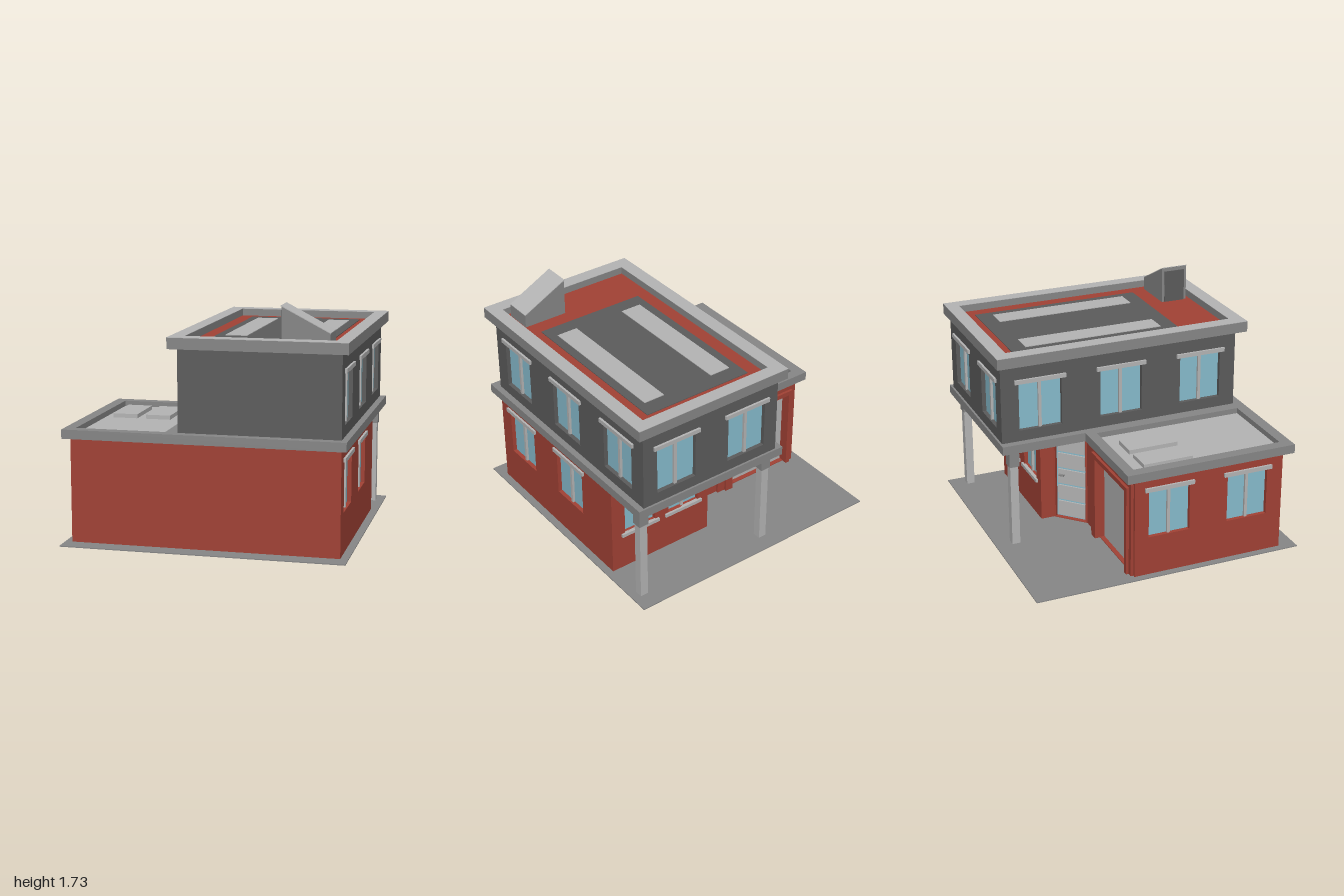
import * as THREE from 'three';

const mat = (name, color) => Object.assign(new THREE.MeshStandardMaterial({ color }), { name });

export function createModel() {
  const root = new THREE.Group();
  root.name = 'house';
  const red = mat('brick red', 0xa24235);
  const dark = mat('dark grey', 0x5c5c5c);
  const grey = mat('mid grey', 0x878787);
  const light = mat('light grey', 0xb5b5b5);
  const glass = mat('window blue', 0x87bccd);

  const add = (parent, name, geometry, material) => {
    const m = new THREE.Mesh(geometry, material);
    m.name = name;
    parent.add(m);
    return m;
  };
  // Box given by its extents
  const box = (parent, name, material, x0, x1, y0, y1, z0, z1) =>
    add(parent, name, new THREE.BoxGeometry(x1 - x0, y1 - y0, z1 - z0)
      .translate((x0 + x1) / 2, (y0 + y1) / 2, (z0 + z1) / 2), material);
  const poly = (pts, Type = THREE.Shape) => new Type(pts.map(([x, y]) => new THREE.Vector2(x, y)));
  const rect = (x0, x1, y0, y1) => [[x0, y0], [x1, y0], [x1, y1], [x0, y1]];
  const extrude = (shape, depth) => new THREE.ExtrudeGeometry(shape, { depth, bevelEnabled: false });
  // Flat slab from a plan outline in (x, z), with one rectangular well
  const slab = (name, material, outline, well, y0, y1) => {
    const s = poly(outline.map(([x, z]) => [x, -z]));
    s.holes.push(poly(rect(well[0], well[1], -well[3], -well[2]), THREE.Path));
    add(root, name, extrude(s, y1 - y0).rotateX(-Math.PI / 2).translate(0, y0, 0), material);
  };

  // Wall panel from plan point a to b; openings are [u0, u1, y0, y1] along the wall
  const wall = (name, material, a, b, y0, y1, openings = []) => {
    const g = new THREE.Group();
    g.name = name;
    const dx = b[0] - a[0], dz = b[1] - a[1];
    g.position.set(a[0], 0, a[1]);
    g.rotation.y = Math.atan2(-dz, dx);
    const s = poly(rect(0, Math.hypot(dx, dz), y0, y1));
    for (const o of openings) s.holes.push(poly(rect(...o), THREE.Path));
    add(g, name + 'Panel', extrude(s, 0.04).translate(0, 0, -0.04), material);
    root.add(g);
    return g;
  };
  // Wall with glazed windows
  const windowWall = (name, material, a, b, y0, y1, openings, sill = false) => {
    const g = wall(name, material, a, b, y0, y1, openings);
    for (const [u0, u1, v0, v1] of openings) {
      const c = (u0 + u1) / 2;
      box(g, 'windowGlass', glass, u0, u1, v0, v1, -0.036, -0.03);
      box(g, 'windowMullion', light, c - 0.011, c + 0.011, v0, v1, -0.03, -0.012);
      box(g, 'windowLintel', light, u0 - 0.03, u1 + 0.03, v1 - 0.003, v1 + 0.027, -0.01, 0.016);
      if (sill) box(g, 'windowSill', light, u0 - 0.03, u1 + 0.03, v0 - 0.025, v0, -0.01, 0.016);
    }
  };
  // Window openings at the given positions, measured from a wall's start
  const windows = (start, centres, width, v0, v1) => centres.map((c) => {
    const u = Math.abs(c - start);
    return [u - width / 2, u + width / 2, v0, v1];
  });

  // Ground plate and porch columns
  box(root, 'ground', grey, -1, 1, 0.038, 0.045, -1, 1);
  for (const x of [-0.145, 0.91]) {
    box(root, 'column', light, x - 0.03, x + 0.03, 0, 0.67, -0.88, -0.82);
    box(root, 'columnCapital', grey, x - 0.038, x + 0.038, 0.66, 0.79, -0.886, -0.812);
  }

  // Lower storey
  const L = 0.045, T = 0.79;
  wall('lowerFrontWall', red, [-0.95, 0.875], [0.945, 0.875], L, T);
  windowWall('lowerLeftWall', red, [0.945, 0.875], [0.945, -0.55], L, T,
    windows(0.875, [0.595, -0.028], 0.32, 0.335, 0.69));
  windowWall('lowerBackWall', red, [0.945, -0.55], [0.107, -0.55], L, T,
    windows(0.945, [0.705, 0.33], 0.26, 0.345, 0.71), true);
  wall('entranceReturn', red, [0.107, -0.55], [0.107, -0.45], L, T);
  windowWall('lowerRightWall', red, [-0.95, -0.26], [-0.95, 0.875], L, T,
    windows(-0.26, [0.0, 0.6], 0.31, 0.335, 0.69));

  // Angled entrance with a slatted door
  const entrance = wall('entranceWall', red, [0.107, -0.45], [-0.09, -0.26], L, T, [[0.015, 0.259, 0.05, 0.71]]);
  box(entrance, 'doorGlass', glass, 0.015, 0.259, 0.05, 0.71, -0.038, -0.032);
  for (let i = 0; i < 5; i++) {
    const y = 0.062 + i * 0.131;
    box(entrance, 'doorPanel', light, 0.028, 0.246, y, y + 0.115, -0.032, -0.02);
  }
  box(entrance, 'doorHandle', grey, 0.04, 0.08, 0.39, 0.4, -0.02, 0);

  // Garage with stepped surround
  const garage = wall('garageWall', red, [-0.09, -0.26], [-0.95, -0.26], L, T, [[0.24, 0.77, 0.05, 0.68]]);
  box(garage, 'garageDoor', light, 0.24, 0.77, 0.05, 0.68, -0.05, -0.035);
  for (const [out, depth] of [[0.07, 0.02], [0.035, 0.04]]) {
    const l = 0.24 - out * 1.8, r = 0.77 + out, top = 0.68 + out;
    const surround = poly([[l, L], [0.24, L], [0.24, 0.68], [0.77, 0.68], [0.77, L], [r, L], [r, top], [l, top]]);
    add(garage, 'garageSurround', extrude(surround, depth), red);
  }

  // Middle slab, sunken garage roof and its hatches
  slab('middleSlab', grey,
    [[-0.99, 0.945], [0.99, 0.945], [0.99, -0.95], [-0.235, -0.95], [-0.235, -0.33], [-0.99, -0.33]],
    [-0.91, -0.27, -0.255, 0.865], T, 0.855);
  box(root, 'garageRoof', light, -0.92, -0.26, 0.795, 0.815, -0.265, 0.87);
  for (const x of [-0.76, -0.512]) box(root, 'roofHatch', light, x - 0.092, x + 0.092, 0.81, 0.845, -0.15, 0.22);

  // Upper storey
  const U = 0.855, R = 1.44, sideZ = [0.595, -0.028, -0.643];
  wall('upperFrontWall', dark, [-0.18, 0.875], [0.945, 0.875], U, R);
  windowWall('upperLeftWall', dark, [0.945, 0.875], [0.945, -0.935], U, R,
    windows(0.875, sideZ, 0.32, 0.935, 1.293));
  windowWall('upperBackWall', dark, [0.945, -0.935], [-0.18, -0.935], U, R,
    windows(0.945, [0.675, 0.085], 0.315, 0.935, 1.293));
  windowWall('upperRightWall', dark, [-0.18, -0.935], [-0.18, 0.875], U, R,
    windows(-0.935, sideZ, 0.32, 0.935, 1.293));

  // Main roof: grey parapet, light capping, red deck
  const rim = [[-0.235, 0.943], [0.995, 0.943], [0.995, -0.97], [-0.235, -0.97]];
  const well = [-0.135, 0.9, -0.875, 0.84];
  slab('roofParapet', grey, rim, well, 1.435, 1.512);
  slab('roofCapping', light, rim, well, 1.512, 1.515);
  box(root, 'roofDeck', red, -0.15, 0.91, 1.437, 1.46, -0.89, 0.85);

  // Landing pad with two painted bars
  box(root, 'landingPad', dark, -0.035, 0.8, 1.46, 1.465, -0.785, 0.49);
  for (const x of [0.11, 0.658]) box(root, 'padStripe', light, x - 0.079, x + 0.079, 1.465, 1.47, -0.668, 0.375);

  // Sloped roof access with a recessed dark door
  const access = poly([[0.52, 1.455], [0.852, 1.455], [0.852, 1.553], [0.52, 1.725]]);
  add(root, 'roofAccess', extrude(access, 0.2).translate(0, 0, 0.61), grey);
  const cover = poly([[0.515, 1.7276], [0.852, 1.553], [0.852, 1.558], [0.515, 1.7336]]);
  add(root, 'roofAccessCover', extrude(cover, 0.2).translate(0, 0, 0.61), light);
  box(root, 'roofAccessDoor', dark, 0.514, 0.521, 1.46, 1.7, 0.63, 0.79);

  return root;
}
